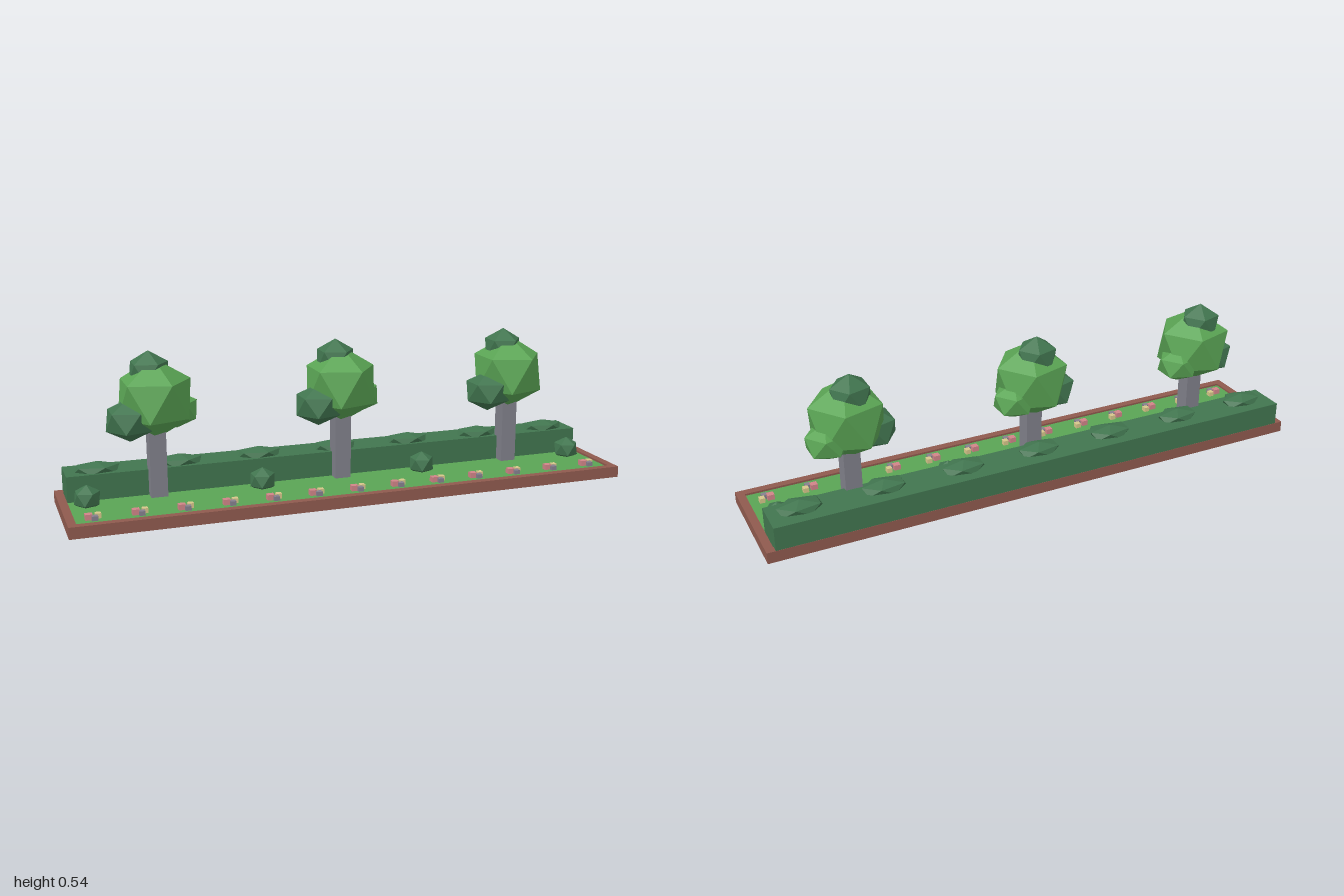
import * as THREE from 'three';
import { ConvexGeometry } from 'three/addons/geometries/ConvexGeometry.js';

const flat = (name, color) => {
  const m = new THREE.MeshStandardMaterial({ color, flatShading: true });
  m.name = name;
  return m;
};

// Unit icosahedron standing on a vertex: two poles and two rings of five
function icosahedron() {
  const pts = [new THREE.Vector3(0, 1, 0), new THREE.Vector3(0, -1, 0)];
  const h = 1 / Math.sqrt(5), r = 2 * h;
  for (let i = 0; i < 5; i++) {
    const a = (i * Math.PI * 2) / 5;
    pts.push(new THREE.Vector3(r * Math.cos(a), h, r * Math.sin(a)));
    pts.push(new THREE.Vector3(-r * Math.cos(a), -h, r * Math.sin(a)));
  }
  return new ConvexGeometry(pts);
}

export function createModel() {
  const brick = flat('brick edging', 0x8f5a4e);
  const leaf = flat('light leaf green', 0x5aa454);
  const dark = flat('dark leaf green', 0x41754f);
  const bark = flat('grey bark', 0x80808a);
  const pink = flat('pink petals', 0xd08488);
  const mauve = flat('grey petals', 0x85808e);
  const cream = flat('cream petals', 0xd6c68a);

  const model = new THREE.Group();
  model.name = 'gardenBed';
  const ico = icosahedron();

  const blob = (parent, name, mat, pos, size) => {
    const m = new THREE.Mesh(ico, mat);
    m.name = name;
    m.position.set(...pos);
    m.scale.set(...size);
    parent.add(m);
  };
  // Box given by its minimum and maximum corners
  const box = (parent, name, mat, a, b) => {
    const m = new THREE.Mesh(new THREE.BoxGeometry(b[0] - a[0], b[1] - a[1], b[2] - a[2]), mat);
    m.name = name;
    m.position.set((a[0] + b[0]) / 2, (a[1] + b[1]) / 2, (a[2] + b[2]) / 2);
    parent.add(m);
  };
  const group = (name, x, y, z) => {
    const g = new THREE.Group();
    g.name = name;
    g.position.set(x, y, z);
    model.add(g);
    return g;
  };

  // Edging frame: rectangle with a hole, laid flat
  const rect = (P, x, z) =>
    new P([[-x, -z], [x, -z], [x, z], [-x, z]].map(p => new THREE.Vector2(...p)));
  const outline = rect(THREE.Shape, 1, 0.206);
  outline.holes.push(rect(THREE.Path, 0.972, 0.178));
  const frame = new THREE.Mesh(
    new THREE.ExtrudeGeometry(outline, { depth: 0.04, bevelEnabled: false }).rotateX(-Math.PI / 2), brick);
  frame.name = 'edgingFrame';
  model.add(frame);

  // Lawn and the hedge along the back
  box(model, 'lawn', leaf, [-0.973, 0.005, -0.179], [0.973, 0.033, 0.179]);
  box(model, 'hedge', dark, [-0.97, 0.03, -0.205], [0.97, 0.123, -0.07]);
  for (let i = -3; i <= 3; i++)
    blob(model, 'hedgeMound', dark, [i * 0.287, 0.128, -0.123], [0.087, 0.027, 0.052]);

  // Three trees with a main crown and three smaller clumps
  for (const x of [-0.665, 0, 0.665]) {
    const tree = group('tree', x, 0, -0.058);
    box(tree, 'trunk', bark, [-0.029, 0.03, -0.029], [0.029, 0.3, 0.029]);
    blob(tree, 'crown', leaf, [0, 0.3725, 0], [0.14, 0.14, 0.14]);
    blob(tree, 'topClump', dark, [-0.013, 0.462, -0.018], [0.075, 0.073, 0.075]);
    blob(tree, 'leftClump', leaf, [0.08, 0.322, -0.032], [0.08, 0.065, 0.08]);
    blob(tree, 'rightClump', dark, [-0.09, 0.31, 0.021], [0.09, 0.075, 0.09]);
  }

  // Small round shrubs
  for (let i = 0; i < 4; i++)
    blob(model, 'shrub', dark, [-0.91 + i * 0.607, 0.06, -0.023], [0.049, 0.045, 0.049]);

  // Row of flower clusters along the front
  for (let i = -6; i <= 6; i++) {
    const f = group('flowers', i * 0.152, 0, 0.12);
    box(f, 'pinkFlower', pink, [-0.026, 0.03, -0.008], [-0.002, 0.052, 0.015]);
    box(f, 'greyFlower', mauve, [-0.006, 0.03, 0.007], [0.014, 0.048, 0.027]);
    box(f, 'creamFlower', cream, [0.008, 0.03, -0.015], [0.027, 0.05, 0.005]);
  }
  return model;
}
